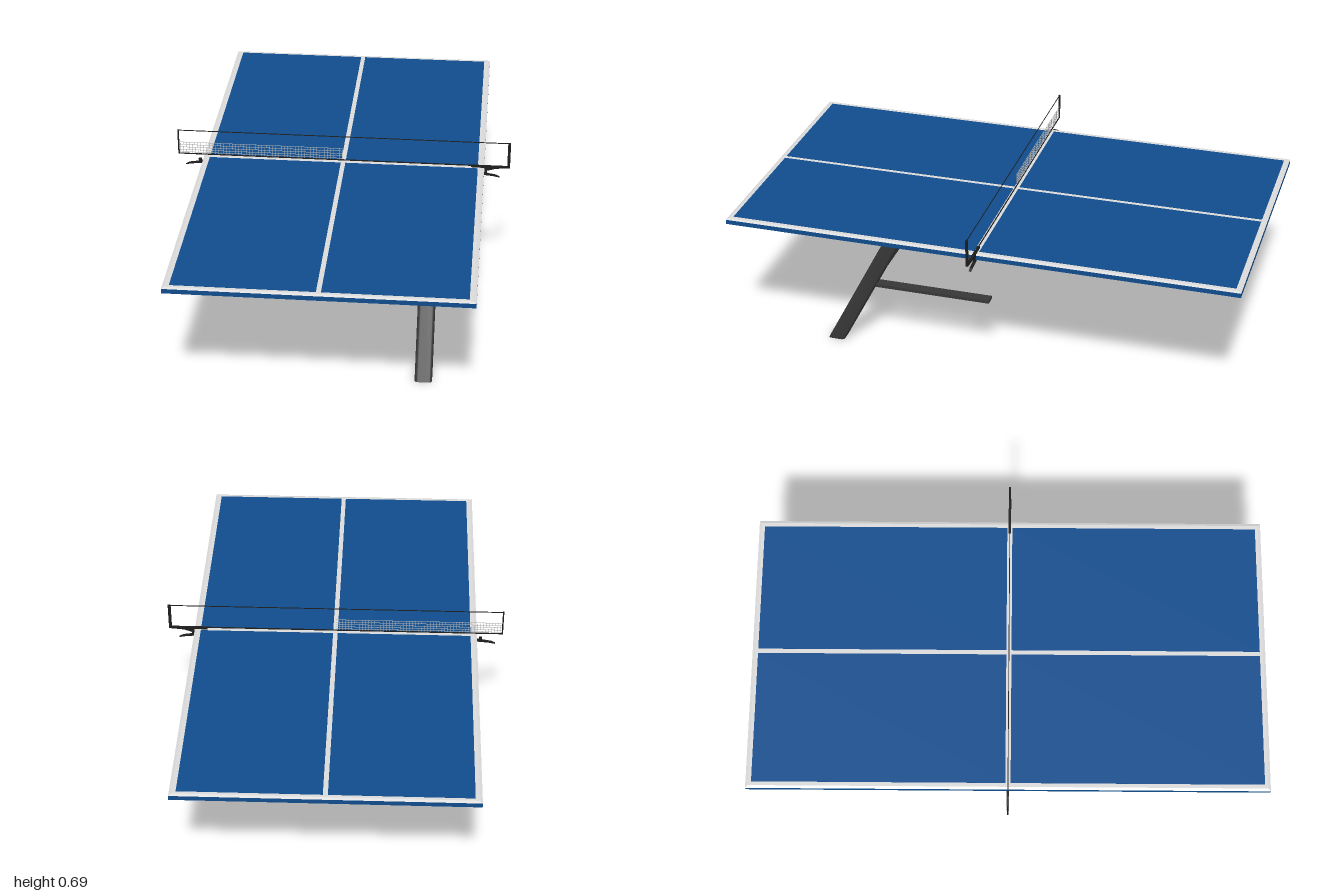
import * as THREE from 'three';
import { toCreasedNormals } from 'three/addons/utils/BufferGeometryUtils.js';

const mat = (name, color) => {
  const m = new THREE.MeshStandardMaterial({ color });
  m.name = name;
  return m;
};

export function createModel() {
  const blue = mat('tableBlue', 0x0f4c8c);
  const white = mat('lineWhite', 0xdadada);
  const dark = mat('legGrey', 0x373737);
  const black = mat('metalBlack', 0x1c1c1c);
  const cord = mat('netCord', 0xb4b4b4);

  const model = new THREE.Group();
  model.name = 'tableTennisTable';

  const add = (name, geometry, material, parent = model) => {
    const mesh = new THREE.Mesh(geometry, material);
    mesh.name = name;
    parent.add(mesh);
    return mesh;
  };
  // box given by its minimum and maximum corners
  const box = (name, a, b, material, parent) => {
    const g = new THREE.BoxGeometry(b[0] - a[0], b[1] - a[1], b[2] - a[2]);
    g.translate((a[0] + b[0]) / 2, (a[1] + b[1]) / 2, (a[2] + b[2]) / 2);
    return add(name, g, material, parent);
  };

  // table slab
  box('tableTop', [-0.556, 0.552, -1], [0.556, 0.57, 1], blue);

  // line layer with bevelled rim
  const rim = new THREE.BoxGeometry(1.112, 0.004, 2);
  const p = rim.attributes.position;
  for (let i = 0; i < p.count; i++) {
    if (p.getY(i) > 0) {
      p.setX(i, p.getX(i) - Math.sign(p.getX(i)) * 0.01);
      p.setZ(i, p.getZ(i) - Math.sign(p.getZ(i)) * 0.01);
    }
  }
  rim.translate(0, 0.572, 0);
  rim.computeVertexNormals();
  add('whiteLines', rim, white);

  // four blue court panels
  for (const sx of [-1, 1]) for (const sz of [-1, 1]) {
    const panel = box('courtPanel', [-0.261, 0.5735, -0.484], [0.261, 0.575, 0.484], blue);
    panel.position.set(sx * 0.27, 0, sz * 0.494);
  }

  // slanted leg: rounded square section, sheared along z
  const h = 0.033, r = 0.014;
  const section = new THREE.Shape();
  section.moveTo(-h + r, -h);
  section.lineTo(h - r, -h);
  section.quadraticCurveTo(h, -h, h, -h + r);
  section.lineTo(h, h - r);
  section.quadraticCurveTo(h, h, h - r, h);
  section.lineTo(-h + r, h);
  section.quadraticCurveTo(-h, h, -h, h - r);
  section.lineTo(-h, -h + r);
  section.quadraticCurveTo(-h, -h, -h + r, -h);
  const legGeo = new THREE.ExtrudeGeometry(section, { depth: 0.553, bevelEnabled: false, curveSegments: 5 });
  legGeo.rotateX(-Math.PI / 2);
  const lp = legGeo.attributes.position;
  for (let i = 0; i < lp.count; i++) lp.setZ(i, lp.getZ(i) - lp.getY(i) * 0.522);
  legGeo.translate(0.363, 0, 0.636);
  add('leg', toCreasedNormals(legGeo, 0.6), dark);

  // braces running from the leg to the middle
  box('crossBrace', [-0.003, 0.259, 0.475], [0.345, 0.275, 0.515], dark);
  box('lengthBrace', [0.343, 0.261, 0], [0.383, 0.274, 0.49], dark);

  // net frame
  const net = new THREE.Group();
  net.name = 'net';
  model.add(net);
  box('netTopCord', [-0.655, 0.6825, -0.001], [0.655, 0.6855, 0.001], black, net);
  box('netBottomCord', [-0.655, 0.58, -0.0015], [0.655, 0.584, 0.0015], black, net);
  box('rightPost', [-0.658, 0.58, -0.003], [-0.653, 0.686, 0.003], black, net);
  box('leftPost', [0.646, 0.578, -0.004], [0.657, 0.686, 0.004], black, net);

  // mesh cords on one half
  for (const y of [0.589, 0.599, 0.61, 0.621, 0.632])
    box('meshRow', [-0.655, y - 0.0008, -0.0006], [-0.003, y + 0.0008, 0.0006], cord, net);
  for (let x = -0.648; x < 0; x += 0.0115)
    box('meshColumn', [x - 0.0007, 0.584, -0.0006], [x + 0.0007, 0.633, 0.0006], cord, net);

  // clamps: flat profiles extruded across z
  const profile = (name, pts, depth) => {
    const s = new THREE.Shape(pts.map(([x, y]) => new THREE.Vector2(x, y)));
    const g = new THREE.ExtrudeGeometry(s, { depth, bevelEnabled: false });
    g.translate(0, 0, -depth / 2);
    return add(name, g, black);
  };
  const wing = (s) => [[0.54, 0.553], [0.54, 0.546], [0.575, 0.543], [0.605, 0.54], [0.63, 0.535],
    [0.615, 0.543], [0.585, 0.548], [0.565, 0.553]].map(([x, y]) => [s * x, y]);
  profile('rightClampArm', wing(-1), 0.01);
  profile('leftClampArm', wing(1).map(([x, y]) => [x - 0.012, y]), 0.01);
  box('rightClampScrew', [-0.577, 0.546, -0.004], [-0.566, 0.564, 0.004], black);
  box('leftClampScrew', [0.557, 0.547, -0.004], [0.568, 0.576, 0.004], black);
  profile('leftClampPlate', [[0.505, 0.576], [0.556, 0.575], [0.558, 0.562], [0.572, 0.564],
    [0.6, 0.573], [0.655, 0.578], [0.655, 0.583], [0.505, 0.583]], 0.01);

  return model;
}
